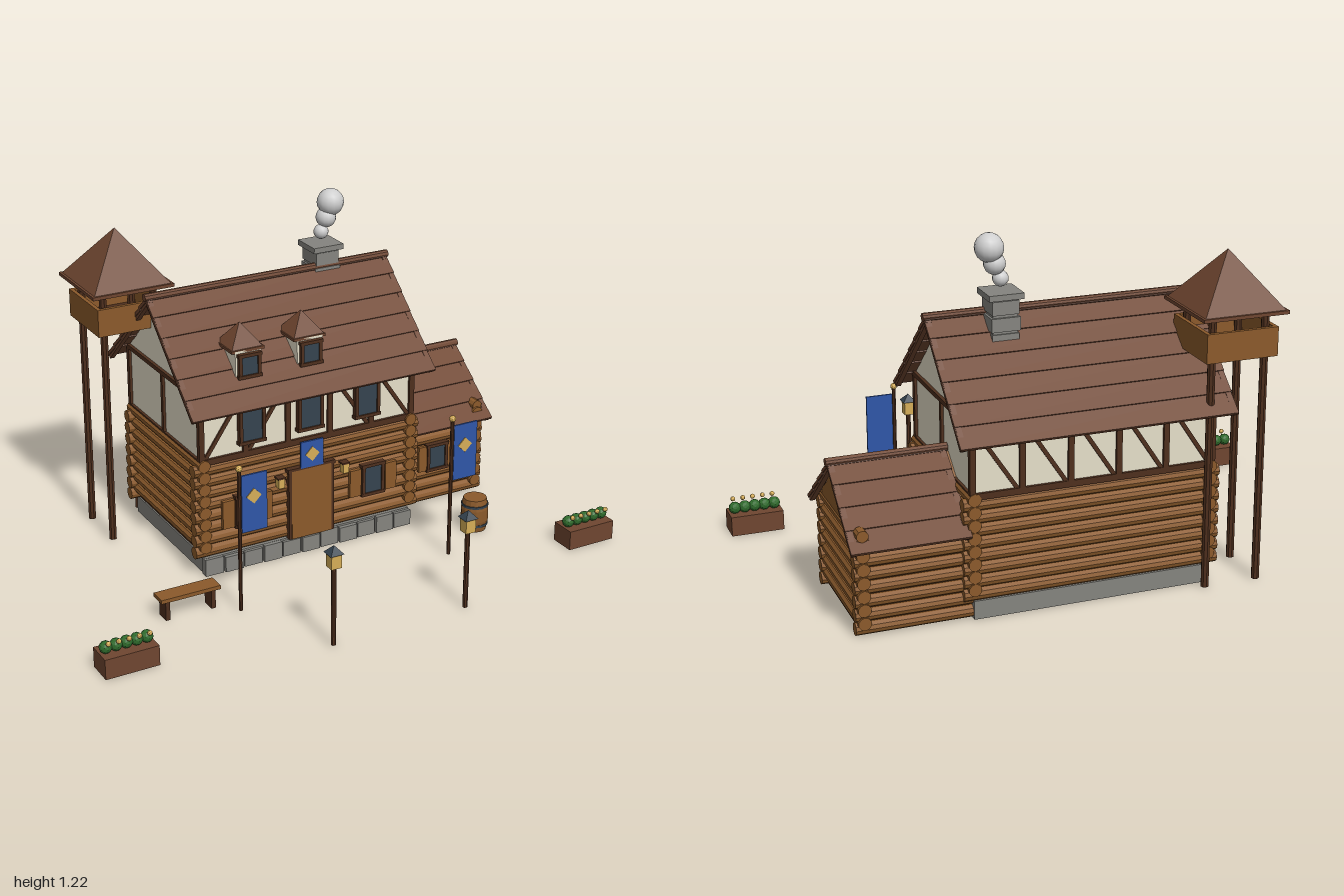
import * as THREE from 'three';

const mat = (name, color, flat = true) => {
  const m = new THREE.MeshStandardMaterial({ color, flatShading: flat });
  m.name = name;
  return m;
};

export function createModel() {
  const M = {
    roof: mat('roofBrown', 0x6f4630), wood: mat('logBrown', 0x8b5a2b), beam: mat('darkTimber', 0x4e2f1d),
    plaster: mat('plaster', 0xe6dfc9), stone: mat('stone', 0x85847f), blue: mat('bannerBlue', 0x2f56a8),
    gold: mat('gold', 0xd6ae58), slate: mat('slate', 0x35434f), green: mat('leafGreen', 0x2f6b2c),
    smoke: mat('smoke', 0xcfcfcf, false),
  };
  M.blue.side = THREE.DoubleSide;
  const root = new THREE.Group();
  root.name = 'logLodge';

  // Helpers
  const group = (name, parent = root, x = 0, y = 0, z = 0) => {
    const g = new THREE.Group();
    g.name = name;
    g.position.set(x, y, z);
    parent.add(g);
    return g;
  };
  const add = (p, name, geo, m, x, y, z) => {
    const o = new THREE.Mesh(geo, m);
    o.name = name;
    o.position.set(x, y, z);
    p.add(o);
    return o;
  };
  const box = (p, name, m, w, h, d, x, y, z) => add(p, name, new THREE.BoxGeometry(w, h, d), m, x, y, z);
  const cyl = (p, name, m, r, h, x, y, z, n = 8) => add(p, name, new THREE.CylinderGeometry(r, r, h, n), m, x, y, z);
  const ball = (p, name, m, r, x, y, z) => add(p, name, new THREE.IcosahedronGeometry(r, 1), m, x, y, z);
  const log = (p, axis, len, r, x, y, z, m = M.wood) => {
    const o = cyl(p, 'log', m, r, len, x, y, z, 10);
    if (axis === 'x') o.rotation.z = Math.PI / 2; else o.rotation.x = Math.PI / 2;
    return o;
  };
  const pyramid = (p, name, m, half, h, x, y, z) => {
    const g = new THREE.ConeGeometry(half * Math.SQRT2, h, 4);
    g.rotateY(Math.PI / 4);
    return add(p, name, g, m, x, y + h / 2, z);
  };
  // Profile of [z, y] points extruded along x
  const prism = (p, name, m, pts, x0, x1) => {
    const s = new THREE.Shape(pts.map(([z, y]) => new THREE.Vector2(-z, y)));
    const g = new THREE.ExtrudeGeometry(s, { depth: x1 - x0, bevelEnabled: false });
    g.rotateY(Math.PI / 2);
    return add(p, name, g, m, x0, 0, 0);
  };
  // Gabled roof made of overlapping board courses
  const gableRoof = (name, x0, x1, ridgeY, ridgeZ, run, drop, courses) => {
    const g = group(name, root, (x0 + x1) / 2, ridgeY, ridgeZ);
    const L = Math.hypot(run, drop), w = x1 - x0, step = L / courses;
    for (const turn of [0, Math.PI]) {
      const side = group('roofSide', g);
      side.rotation.y = turn;
      const slope = group('slope', side);
      slope.rotation.x = Math.atan2(drop, run);
      for (let i = 0; i < courses; i++) {
        box(slope, 'boardCourse', M.roof, w, 0.012, step + 0.008, 0, -0.009, (i + 0.5) * step).rotation.x = -0.06;
      }
      for (const s of [-1, 1]) box(slope, 'vergeBoard', M.roof, 0.018, 0.022, L, s * (w / 2 - 0.012), -0.014, L / 2);
    }
    log(g, 'x', w + 0.01, 0.014, 0, -0.004, 0, M.roof);
  };
  const windowUnit = (p, x, y, z, w, h) => {
    const g = group('window', p, x, y, z);
    box(g, 'glass', M.slate, w - 0.02, h - 0.02, 0.012, 0, 0, 0);
    for (const s of [-1, 1]) {
      box(g, 'frameSide', M.beam, 0.012, h, 0.022, s * (w / 2 - 0.006), 0, 0);
      box(g, 'frameRail', M.beam, w + 0.006, 0.012, 0.024, 0, s * (h / 2 - 0.006), 0);
    }
    return g;
  };
  const diamond = (p, half, x, y, z) => {
    box(p, 'goldDiamond', M.gold, half * 1.41, half * 1.41, 0.006, x, y, z).rotation.z = Math.PI / 4;
  };

  // Stone foundation
  const base = group('foundation');
  box(base, 'foundationSlab', M.stone, 0.83, 0.065, 0.575, 0, 0.0325, -0.28);
  for (let i = 0; i < 11; i++) {
    const h = 0.058 + 0.006 * (i % 3 === 0);
    box(base, 'foundationStone', M.stone, 0.07, h, 0.03, -0.385 + i * 0.077, h / 2, 0.004 + 0.004 * (i % 2));
  }

  // Ground floor log walls
  const walls = group('logWalls');
  box(walls, 'wallCore', M.beam, 0.82, 0.37, 0.545, 0, 0.25, -0.2825);
  for (let i = 0; i < 8; i++) {
    const y = 0.088 + i * 0.0445;
    for (const z of [-0.01, -0.555]) log(walls, 'x', 0.9, 0.0225, 0, y, z);
    for (const x of [-0.415, 0.415]) log(walls, 'z', 0.6, 0.0225, x, y + 0.022, -0.2825);
  }

  // Plastered upper floor with gables
  const upper = group('upperFloor');
  prism(upper, 'plasterWalls', M.plaster, [[0, 0.43], [0, 0.672], [-0.285, 0.934], [-0.57, 0.672], [-0.57, 0.43]], -0.42, 0.42);
  for (const z of [0, -0.57]) {
    box(upper, 'sillBeam', M.beam, 0.86, 0.022, 0.02, 0, 0.432, z);
    box(upper, 'topBeam', M.beam, 0.86, 0.022, 0.02, 0, 0.655, z);
    for (let i = 0; i < 6; i++) box(upper, 'post', M.beam, 0.02, 0.24, 0.02, -0.42 + i * 0.168, 0.55, z);
  }
  for (const x of [-0.42, 0.42]) {
    box(upper, 'sideSill', M.beam, 0.02, 0.022, 0.58, x, 0.432, -0.285);
    box(upper, 'gableBeam', M.beam, 0.024, 0.016, 0.58, x, 0.668, -0.285);
    box(upper, 'sidePost', M.beam, 0.02, 0.23, 0.016, x, 0.55, -0.285);
  }
  const brace = (x, z, s) => { box(upper, 'brace', M.beam, 0.014, 0.25, 0.014, x, 0.545, z).rotation.z = s * 0.6; };
  for (let i = 0; i < 5; i++) brace(-0.336 + i * 0.168, -0.57, -0.97);
  for (const s of [-1, 1]) { brace(s * 0.336, 0, s); brace(s * 0.168, 0, s); }
  for (const x of [-0.23, 0, 0.23]) windowUnit(upper, x, 0.54, 0.012, 0.1, 0.135);
  gableRoof('mainRoof', -0.48, 0.48, 0.957, -0.285, 0.355, 0.33, 6);

  // Dormers
  for (const x of [-0.22, 0.02]) {
    const d = group('dormer', root, x, 0, 0);
    box(d, 'dormerBody', M.plaster, 0.1, 0.11, 0.14, 0, 0.747, -0.095);
    box(d, 'dormerEaves', M.roof, 0.126, 0.01, 0.13, 0, 0.8, -0.09);
    pyramid(d, 'dormerRoof', M.roof, 0.06, 0.08, 0, 0.803, -0.09);
    windowUnit(d, 0, 0.748, -0.02, 0.084, 0.09);
  }

  // Front door, lower windows with shutters, wall lanterns and small banner
  const front = group('frontDetails');
  box(front, 'door', M.wood, 0.16, 0.265, 0.02, 0, 0.197, 0.016);
  for (const s of [-1, 1]) {
    box(front, 'doorJamb', M.beam, 0.012, 0.27, 0.022, s * 0.085, 0.2, 0.014);
    const w = windowUnit(front, s * 0.255, 0.225, 0.016, 0.092, 0.125);
    for (const t of [-1, 1]) box(w, 'shutter', M.wood, 0.046, 0.105, 0.014, t * 0.074, -0.002, 0.002);
    box(front, 'wallLantern', M.gold, 0.024, 0.034, 0.024, s * 0.13, 0.302, 0.032);
    box(front, 'lanternCap', M.beam, 0.03, 0.006, 0.03, s * 0.13, 0.322, 0.03);
  }
  box(front, 'doorLintel', M.beam, 0.19, 0.014, 0.024, 0, 0.332, 0.014);
  box(front, 'doorBanner', M.blue, 0.09, 0.1, 0.008, 0, 0.385, 0.024);
  diamond(front, 0.028, 0, 0.385, 0.028);

  // Log annex
  const annex = group('annex');
  box(annex, 'annexCore', M.beam, 0.36, 0.31, 0.415, 0.605, 0.157, -0.3325);
  for (let i = 0; i < 7; i++) {
    const y = 0.024 + i * 0.0465;
    for (const z of [-0.125, -0.54]) log(annex, 'x', 0.4, 0.022, 0.61, y, z);
    log(annex, 'z', 0.47, 0.0225, 0.782, y + 0.023, -0.3325);
  }
  for (const z of [-0.125, -0.555]) log(annex, 'z', 0.04, 0.02, 0.785, 0.352, z);
  prism(annex, 'annexGable', M.wood, [[-0.1, 0.32], [-0.335, 0.505], [-0.57, 0.32]], 0.42, 0.8);
  windowUnit(annex, 0.605, 0.187, -0.1, 0.09, 0.11);
  for (const s of [-1, 1]) box(annex, 'annexShutter', M.wood, 0.036, 0.1, 0.012, 0.605 + s * 0.062, 0.187, -0.1);
  gableRoof('annexRoof', 0.43, 0.83, 0.525, -0.335, 0.265, 0.213, 4);

  // Chimney and smoke
  const chimney = group('chimney', root, 0.23, 0, -0.322);
  box(chimney, 'chimneyShaft', M.stone, 0.085, 0.2, 0.09, 0, 0.9, 0);
  [0.87, 0.925, 0.98].forEach((y, i) => {
    box(chimney, 'stoneCourse', M.stone, 0.092 + 0.008 * (i % 2), 0.046, 0.1 + 0.006 * (i % 2), 0, y, 0);
  });
  box(chimney, 'chimneyCap', M.stone, 0.12, 0.02, 0.12, 0, 1.018, 0);
  const smoke = group('smoke');
  for (const [x, y, r] of [[0.23, 1.067, 0.027], [0.25, 1.118, 0.037], [0.268, 1.172, 0.049]]) {
    add(smoke, 'smokePuff', new THREE.SphereGeometry(r, 14, 10), M.smoke, x, y, -0.32);
  }

  // Watchtower
  const tower = group('watchtower', root, -0.49, 0, -0.505);
  box(tower, 'towerFloor', M.beam, 0.25, 0.015, 0.25, 0, 0.808, 0);
  for (let i = 0; i < 4; i++) {
    const side = group('towerSide', tower);
    side.rotation.y = i * Math.PI / 2;
    box(side, 'towerPanel', M.wood, 0.256, 0.1, 0.014, 0, 0.85, 0.121);
    cyl(side, 'towerPost', M.beam, 0.014, 0.95, 0.095, 0.475, 0.095);
  }
  box(tower, 'towerEaves', M.roof, 0.306, 0.012, 0.306, 0, 0.953, 0);
  pyramid(tower, 'towerRoof', M.roof, 0.145, 0.185, 0, 0.958, 0);

  // Flagpoles and lamp posts
  for (const x of [-0.42, 0.415]) {
    const f = group('flagpole', root, x, 0, 0.285);
    cyl(f, 'pole', M.beam, 0.007, 0.525, 0, 0.2625, 0);
    ball(f, 'poleBall', M.gold, 0.012, 0, 0.528, 0);
    box(f, 'flag', M.blue, 0.095, 0.21, 0.007, 0.055, 0.395, 0);
    diamond(f, 0.028, 0.052, 0.42, 0.004);
  }
  for (const x of [-0.26, 0.255]) {
    const l = group('lampPost', root, x, 0, 0.635);
    cyl(l, 'lampPole', M.beam, 0.009, 0.29, 0, 0.145, 0);
    box(l, 'lamp', M.gold, 0.038, 0.05, 0.038, 0, 0.313, 0);
    pyramid(l, 'lampRoof', M.slate, 0.025, 0.028, 0, 0.338, 0);
  }

  // Planters
  for (const x of [-0.905, 0.905]) {
    const p = group('planter', root, x, 0, 0.428);
    box(p, 'planterBox', M.roof, 0.19, 0.072, 0.095, 0, 0.036, 0);
    for (let i = 0; i < 5; i++) {
      const px = -0.072 + i * 0.036;
      ball(p, 'bush', M.green, 0.022, px, 0.09, 0);
      ball(p, 'flower', M.gold, 0.009, px, 0.114, 0.026);
    }
  }

  // Bench
  const bench = group('bench', root, -0.58, 0, 0.203);
  box(bench, 'benchSeat', M.wood, 0.22, 0.014, 0.064, 0, 0.077, 0);
  for (const s of [-1, 1]) box(bench, 'benchLeg', M.beam, 0.016, 0.07, 0.052, s * 0.085, 0.035, 0);

  // Barrel
  const barrel = group('barrel', root, 0.61, 0, 0.157);
  const profile = [[0, 0], [0.043, 0], [0.05, 0.04], [0.05, 0.085], [0.043, 0.125], [0, 0.125]];
  add(barrel, 'barrelBody', new THREE.LatheGeometry(profile.map(([r, y]) => new THREE.Vector2(r, y)), 14), M.wood, 0, 0, 0);
  for (const y of [0.025, 0.1]) cyl(barrel, 'hoop', M.slate, 0.05, 0.009, 0, y, 0, 14);
  return root;
}
